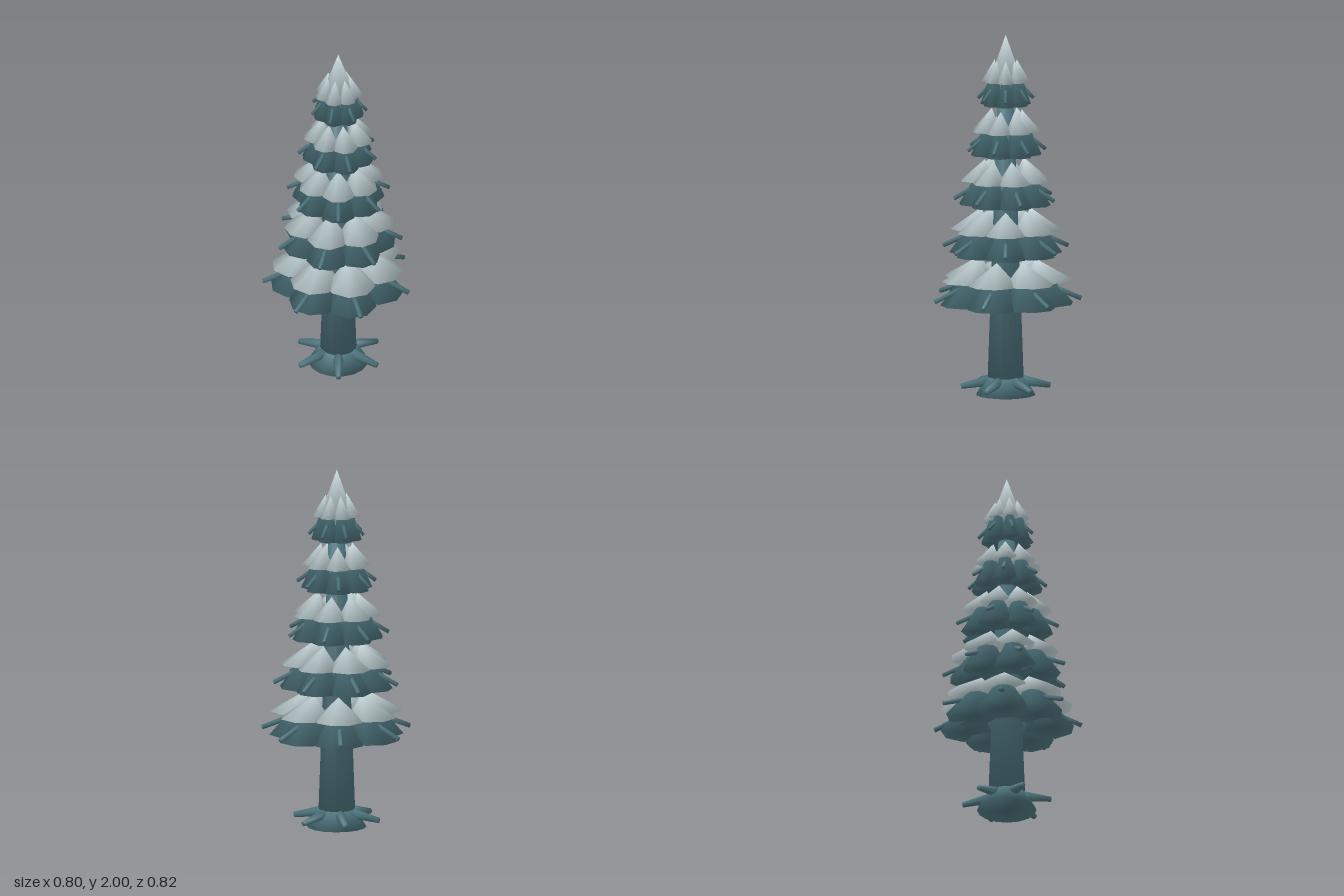
import * as THREE from 'three';
import { mergeVertices } from 'three/addons/utils/BufferGeometryUtils.js';

const needleMat = new THREE.MeshStandardMaterial({ color: 0x4f7780 });
needleMat.name = 'blueGreen';
const snowMat = new THREE.MeshStandardMaterial({ color: 0xcbdce0 });
snowMat.name = 'snowWhite';

const LOBES = 7;
const STEP = (Math.PI * 2) / LOBES;

// Weld all corners and round the shading over every edge, weighting faces by corner angle
function soften(geometry) {
  geometry.deleteAttribute('uv');
  geometry.deleteAttribute('normal');
  const g = mergeVertices(geometry, 1e-5);
  const pos = g.attributes.position;
  const sums = Array.from({ length: pos.count }, () => new THREE.Vector3());
  for (let i = 0; i < g.index.count; i += 3) {
    const ids = [0, 1, 2].map((k) => g.index.getX(i + k));
    const p = ids.map((id) => new THREE.Vector3().fromBufferAttribute(pos, id));
    const n = new THREE.Triangle(...p).getNormal(new THREE.Vector3());
    for (let k = 0; k < 3; k++) {
      const a = p[(k + 1) % 3].clone().sub(p[k]);
      const b = p[(k + 2) % 3].clone().sub(p[k]);
      sums[ids[k]].addScaledVector(n, a.angleTo(b));
    }
  }
  const normals = sums.flatMap((v) => v.normalize().toArray());
  g.setAttribute('normal', new THREE.Float32BufferAttribute(normals, 3));
  return g;
}

function add(parent, name, geometry, material) {
  const mesh = new THREE.Mesh(geometry, material);
  mesh.name = name;
  parent.add(mesh);
  return mesh;
}

// Eight-sided cone with a flat side facing out, its tip leaning towards the trunk
function lobe(baseAt, tipAt, radius, y, height) {
  const g = new THREE.ConeGeometry(radius, height, 8, 1, false, Math.PI / 8);
  g.translate(0, height / 2, 0);
  const lean = (tipAt - baseAt) / height;
  g.applyMatrix4(new THREE.Matrix4().set(
    1, lean, 0, baseAt,
    0, 1, 0, y,
    0, 0, 1, 0,
    0, 0, 0, 1));
  return soften(g);
}

// Tapered stick between two points in the radial (x, y) plane
function stick(x0, y0, x1, y1, r0, r1) {
  const dx = x1 - x0, dy = y1 - y0;
  const g = new THREE.CylinderGeometry(r1, r0, Math.hypot(dx, dy), 8);
  g.rotateZ(Math.atan2(dy, dx) - Math.PI / 2);
  g.translate((x0 + x1) / 2, (y0 + y1) / 2, 0);
  return soften(g);
}

// Upright tapered round from y0 to y1
function round(rTop, rBottom, y0, y1) {
  const g = new THREE.CylinderGeometry(rTop, rBottom, y1 - y0, 16);
  g.translate(0, (y0 + y1) / 2, 0);
  return soften(g);
}

// Ring of needle lobes with snow caps and protruding twigs
function tier(index) {
  const group = new THREE.Group();
  group.name = 'branchTier' + (index + 1);
  const y = 0.51 + index * 0.276;
  const outer = 0.365 - index * 0.057;
  const tip = 0.415 - index * 0.065;
  const twigR = 0.0145 - index * 0.001;
  const baseAt = outer * 0.645, tipAt = outer * 0.45, radius = outer * 0.384;
  const needles = lobe(baseAt, tipAt, radius, y, 0.242);
  const snow = lobe(baseAt - 0.004, tipAt, radius - 0.004, y + 0.13, 0.118);
  const twig = stick(outer * 0.6, y + 0.11, tip, y + 0.03, twigR, twigR * 0.9);
  for (let k = 0; k < LOBES; k++) {
    const branch = new THREE.Group();
    branch.name = 'branch';
    branch.rotation.y = -(k * STEP + index * STEP * 2 / 3);
    add(branch, 'needleLobe', needles, needleMat);
    add(branch, 'snowCap', snow, snowMat);
    add(branch, 'twig', twig, needleMat);
    group.add(branch);
  }
  return group;
}

export function createModel() {
  const model = new THREE.Group();
  model.name = 'snowyTree';
  const tree = new THREE.Group();
  tree.name = 'tree';
  tree.position.x = -0.02;
  model.add(tree);

  // Trunk and flared foot
  add(tree, 'trunk', round(0.04, 0.103, 0.02, 1.8), needleMat);
  add(tree, 'trunkFoot', round(0.097, 0.163, 0, 0.105), needleMat);

  // Roots
  const root = stick(0.07, 0.082, 0.245, 0.048, 0.032, 0.015);
  for (let k = 0; k < 6; k++) {
    add(tree, 'root', root, needleMat).rotation.y = -k * Math.PI / 3;
  }

  // Branch tiers
  for (let i = 0; i < 5; i++) tree.add(tier(i));

  // Snowy tip
  const top = new THREE.ConeGeometry(0.092, 0.26, 16);
  top.translate(0, 1.87, 0);
  add(tree, 'snowyTip', soften(top), snowMat);

  return model;
}
